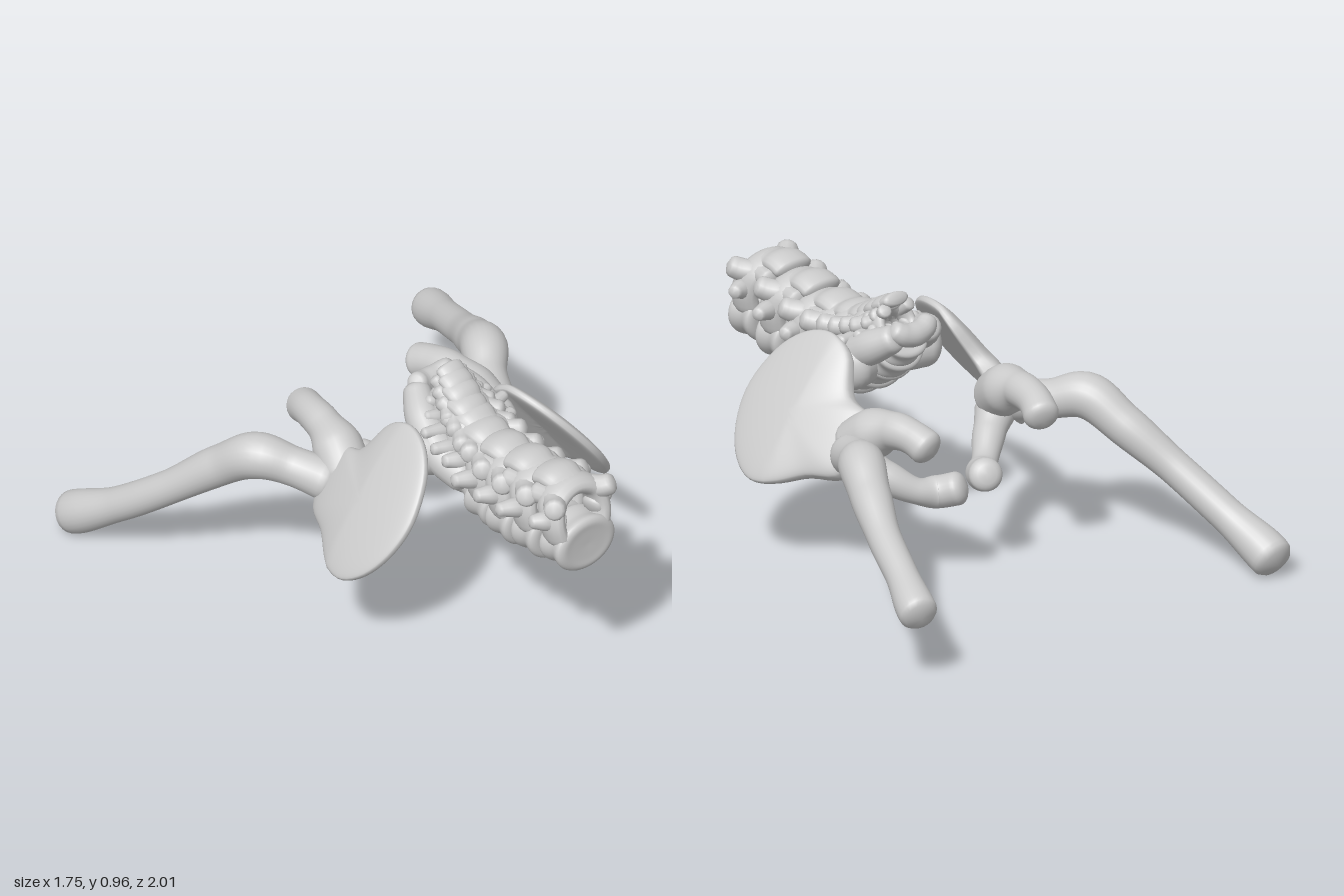
import * as THREE from 'three';
import { mergeVertices } from 'three/addons/utils/BufferGeometryUtils.js';

const bone = new THREE.MeshStandardMaterial({ color: 0xcccccc });

function smooth(geometry) {
  geometry.deleteAttribute('uv');
  geometry.deleteAttribute('normal');
  const merged = mergeVertices(geometry, 1e-5);
  merged.computeVertexNormals();
  return merged;
}

function add(parent, name, geometry) {
  const mesh = new THREE.Mesh(geometry, bone);
  mesh.name = name;
  parent.add(mesh);
}

// Round-ended tube through points [x, y, z, radius]
function limb(points, rings = 40, sides = 18) {
  const curve = new THREE.CatmullRomCurve3(points.map(p => new THREE.Vector3(p[0], p[1], p[2])));
  const geometry = new THREE.TubeGeometry(curve, rings, 1, sides);
  const pos = geometry.attributes.position;
  const length = curve.getLength();
  const v = new THREE.Vector3();
  for (let i = 0; i <= rings; i++) {
    const u = i / rings;
    const f = curve.getUtoTmapping(u) * (points.length - 1);
    const k = Math.min(Math.floor(f), points.length - 2);
    let r = THREE.MathUtils.lerp(points[k][3], points[k + 1][3], THREE.MathUtils.smoothstep(f - k, 0, 1));
    const d = Math.min(1, Math.min(u, 1 - u) * length / (0.65 * r));
    r *= Math.sqrt(Math.max(0, 1 - (1 - d) ** 2));
    const centre = curve.getPointAt(u);
    for (let j = 0; j <= sides; j++) {
      const n = i * (sides + 1) + j;
      v.fromBufferAttribute(pos, n).sub(centre).multiplyScalar(r).add(centre);
      pos.setXYZ(n, v.x, v.y, v.z);
    }
  }
  return smooth(geometry);
}

// Flared hip blade: a sphere flattened into an outline given as (z, y)
function ilium() {
  const outline = new THREE.CatmullRomCurve3([
    [0.52, 0.6], [0.47, 0.73], [0.38, 0.8], [0.27, 0.815], [0.18, 0.765], [0.1, 0.64], [0, 0.59],
    [-0.04, 0.5], [0, 0.4], [0.12, 0.38], [0.22, 0.345], [0.33, 0.335], [0.43, 0.39], [0.5, 0.49],
  ].map(([z, y]) => new THREE.Vector3(0, y, z)), true);
  const geometry = new THREE.SphereGeometry(1, 64, 32);
  const pos = geometry.attributes.position;
  for (let i = 0; i < pos.count; i++) {
    const a = pos.getX(i), b = pos.getY(i), c = pos.getZ(i);
    const r = Math.min(1, Math.hypot(a, c));
    const turn = (Math.atan2(c, a) / (2 * Math.PI) + 1) % 1;
    const edge = outline.getPoint(r < 1e-6 ? 0 : turn);
    const z = THREE.MathUtils.lerp(0.28, edge.z, r);
    const y = THREE.MathUtils.lerp(0.57, edge.y, r);
    const back = Math.max(0, 0.25 - z);
    const half = (0.028 + 0.14 * back) * Math.sign(b) * Math.sqrt(Math.abs(b));
    const x = 0.56 - (y - 0.34) * 0.73 - 0.33 * back + 0.1 * (z - 0.3) + 0.015 * (1 - r * r);
    pos.setXYZ(i, x + 0.8 * half, y + 0.6 * half, z);
  }
  return smooth(geometry);
}

// Mirror a geometry in x, keeping its faces outward
function mirrored(geometry) {
  const g = geometry.clone().scale(-1, 1, 1);
  const index = g.index;
  for (let i = 0; i < index.count; i += 3) {
    const t = index.getX(i);
    index.setX(i, index.getX(i + 1));
    index.setX(i + 1, t);
  }
  g.computeVertexNormals();
  return g;
}

// Vertebra parts, with the spine axis along z
const profile = new THREE.SplineCurve([
  [0, -0.06], [0.07, -0.062], [0.112, -0.063], [0.134, -0.045], [0.122, 0],
  [0.134, 0.045], [0.112, 0.063], [0.07, 0.062], [0, 0.06],
].map(p => new THREE.Vector2(...p))).getPoints(32);
profile.forEach(p => { p.x = Math.max(0, p.x); });
const bodyGeometry = smooth(new THREE.LatheGeometry(profile, 36).rotateX(Math.PI / 2).scale(1, 0.78, 1));
const archGeometry = limb([
  [-0.085, 0.02, 0, 0.038], [-0.105, 0.11, -0.005, 0.036], [-0.08, 0.18, -0.018, 0.038], [0, 0.212, -0.022, 0.036],
  [0.08, 0.18, -0.018, 0.038], [0.105, 0.11, -0.005, 0.036], [0.085, 0.02, 0, 0.038],
], 36, 14).scale(1, 1, 1.7);
const laminaGeometry = limb([
  [0, 0.205, 0.01, 0.032], [0, 0.215, -0.05, 0.036], [0, 0.225, -0.1, 0.04], [0, 0.205, -0.165, 0.04],
], 24, 18).scale(2.1, 1, 1);

function vertebra(name, x, y, z, size, tilt, reach) {
  const group = new THREE.Group();
  group.name = name;
  add(group, 'vertebralBody', bodyGeometry);
  add(group, 'neuralArch', archGeometry);
  add(group, 'lamina', laminaGeometry);
  for (const s of [-1, 1]) {
    add(group, 'articularProcess', limb([
      [s * 0.145, 0.2, 0.05, 0.038], [s * 0.105, 0.18, 0.01, 0.042],
      [s * 0.075, 0.18, -0.05, 0.038], [s * 0.09, 0.175, -0.135, 0.04],
    ], 24, 12));
    add(group, 'transverseProcess', limb([
      [s * 0.06, 0.09, 0, 0.05], [s * 0.13, 0.12, -0.015, 0.036], [s * reach, 0.13, -0.04, 0.024],
    ], 20, 12));
  }
  group.position.set(x, y, z);
  group.rotation.x = tilt;
  group.scale.setScalar(size);
  return group;
}

export function createModel() {
  const model = new THREE.Group();
  model.name = 'pelvisWithSpine';

  // Lumbar spine
  const spine = new THREE.Group();
  spine.name = 'lumbarSpine';
  [
    [-0.03, 0.635, 0.935, 1, -0.03, 0.19], [-0.025, 0.605, 0.775, 1.02, -0.03, 0.21],
    [-0.015, 0.575, 0.62, 1.02, 0.02, 0.2], [-0.01, 0.575, 0.49, 1, 0.08, 0.21],
  ].forEach((v, i) => spine.add(vertebra('lumbarVertebra' + (i + 1), ...v)));
  model.add(spine);

  // Sacrum: smaller, overlapping segments that rise toward the back
  const sacrum = new THREE.Group();
  sacrum.name = 'sacrum';
  [
    [0, 0.605, 0.39, 0.94, 0.15, 0.2], [0, 0.635, 0.31, 0.88, 0.35, 0.22], [0.01, 0.68, 0.235, 0.82, 0.5, 0.24],
    [0.015, 0.72, 0.175, 0.76, 0.65, 0.2], [0.02, 0.77, 0.125, 0.66, 0.8, 0.17],
  ].forEach((v, i) => sacrum.add(vertebra('sacralSegment' + (i + 1), ...v)));
  for (const s of [-1, 1]) {
    add(sacrum, 'sacralWing', limb([
      [s * 0.03, 0.66, 0.3, 0.08], [s * 0.13, 0.69, 0.25, 0.09], [s * 0.23, 0.69, 0.21, 0.085],
    ]));
    add(sacrum, 'sacralSideMass', limb([
      [s * 0.11, 0.64, 0.44, 0.06], [s * 0.13, 0.7, 0.3, 0.07],
      [s * 0.12 + 0.01, 0.77, 0.18, 0.065], [s * 0.07 + 0.02, 0.84, 0.06, 0.05],
    ]));
  }
  add(sacrum, 'sacrumTip', limb([
    [-0.07, 0.87, 0.085, 0.035], [-0.03, 0.84, 0.065, 0.042], [0.02, 0.83, 0.06, 0.045],
    [0.07, 0.84, 0.065, 0.042], [0.11, 0.87, 0.085, 0.035],
  ]));
  model.add(sacrum);

  // Hip blades
  const blade = ilium();
  add(model, 'leftIlium', blade);
  add(model, 'rightIlium', mirrored(blade).scale(1.04, 1, 1).translate(0, 0.015, -0.045));

  // Hip, pubic and thigh bones, each side in its own pose
  const limbs = {
    leftIschium: [[0.35, 0.48, 0.04, 0.09], [0.325, 0.57, -0.07, 0.092], [0.31, 0.61, -0.17, 0.068], [0.295, 0.605, -0.26, 0.062], [0.28, 0.57, -0.35, 0.066]],
    rightIschium: [[-0.33, 0.5, 0.03, 0.09], [-0.285, 0.585, -0.09, 0.092], [-0.265, 0.62, -0.19, 0.066], [-0.24, 0.615, -0.3, 0.062], [-0.2, 0.575, -0.395, 0.066]],
    leftPubis: [[0.36, 0.47, 0.02, 0.08], [0.285, 0.4, -0.09, 0.06], [0.2, 0.345, -0.165, 0.048], [0.125, 0.33, -0.19, 0.06], [0.06, 0.36, -0.275, 0.062]],
    rightPubis: [[-0.33, 0.49, 0.01, 0.08], [-0.23, 0.42, -0.06, 0.06], [-0.14, 0.36, -0.14, 0.048], [-0.085, 0.345, -0.19, 0.06], [-0.03, 0.385, -0.285, 0.062]],
    leftFemur: [[0.38, 0.49, 0, 0.08], [0.46, 0.53, -0.15, 0.072], [0.53, 0.56, -0.25, 0.085], [0.6, 0.5, -0.38, 0.075],
      [0.68, 0.415, -0.55, 0.062], [0.745, 0.345, -0.72, 0.06], [0.8, 0.28, -0.86, 0.072], [0.82, 0.255, -0.92, 0.074]],
    rightFemur: [[-0.35, 0.5, 0, 0.08], [-0.43, 0.53, -0.16, 0.072], [-0.51, 0.555, -0.27, 0.085], [-0.57, 0.47, -0.4, 0.075],
      [-0.67, 0.325, -0.57, 0.063], [-0.745, 0.19, -0.75, 0.064], [-0.79, 0.085, -0.92, 0.08], [-0.795, 0.045, -0.99, 0.082]],
  };
  for (const [name, points] of Object.entries(limbs)) add(model, name, limb(points, 64, 24));

  return model;
}
